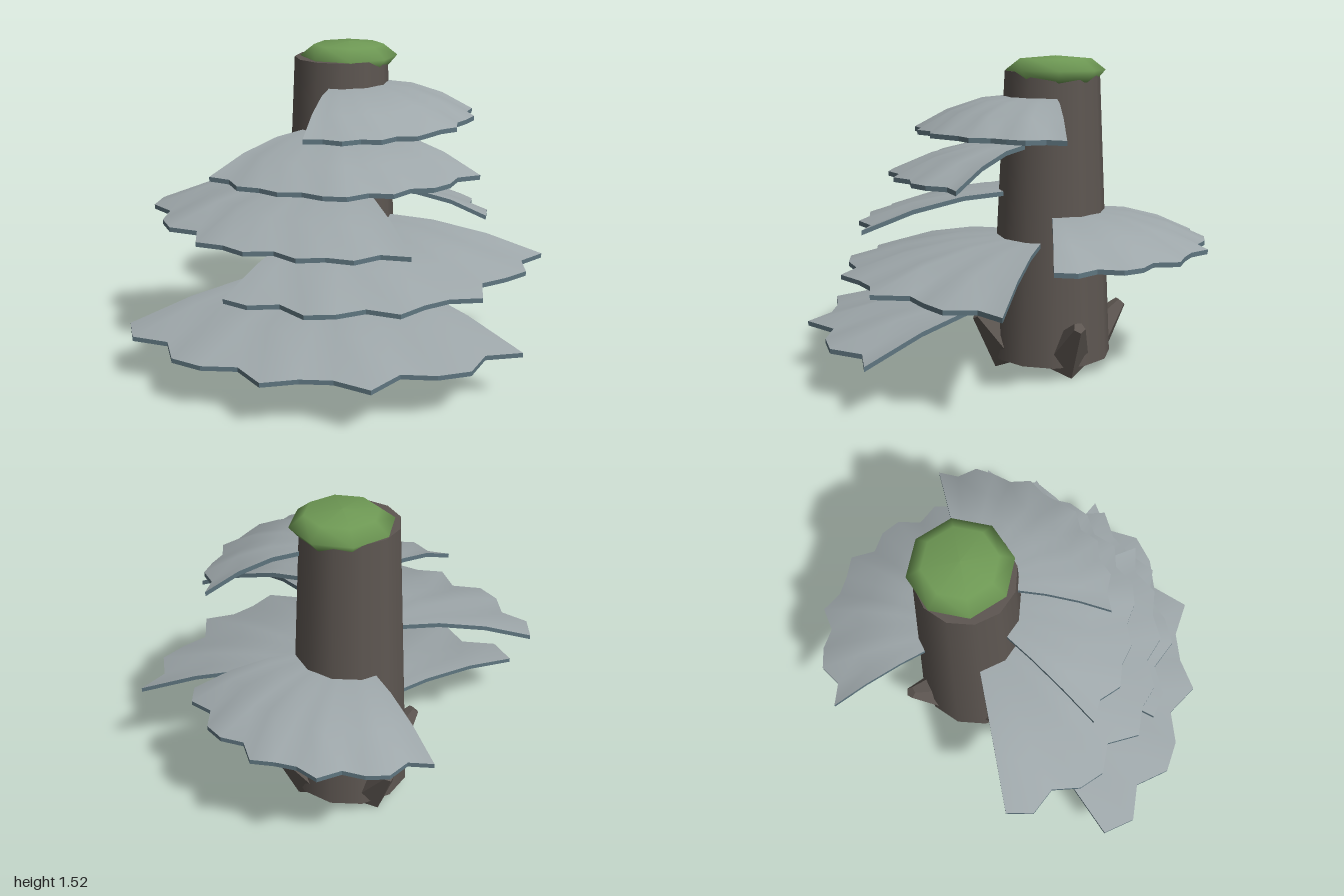
import * as THREE from 'three';

const CX = 0.015, CZ = -0.215; // trunk axis
const RINGS = 3, INNER = 0.2, DROP = 0.15, THICK = 0.022;

function flat(geometry) {
  const g = geometry.index ? geometry.toNonIndexed() : geometry;
  g.computeVertexNormals();
  return g;
}

function fromPoints(points, index) {
  const g = new THREE.BufferGeometry().setFromPoints(points);
  g.setIndex(index);
  g.computeVertexNormals();
  return g;
}

// A domed fan-shaped shelf: radii lists its scalloped rim from angle a0 to a1 (degrees, +x towards +z)
function makeShelf(name, top, a0, a1, radii, capMat, underMat) {
  const n = radii.length - 1;
  const at = (j, i, dy) => {
    const a = THREE.MathUtils.degToRad(a0 + (a1 - a0) * j / n);
    const s = i / RINGS;
    const r = INNER + (radii[j] - INNER) * s;
    return new THREE.Vector3(Math.cos(a) * r, top - DROP * s * s + dy, Math.sin(a) * r);
  };
  const sheet = (dy, up) => {
    const pts = [], idx = [], w = RINGS + 1;
    for (let j = 0; j <= n; j++) for (let i = 0; i <= RINGS; i++) pts.push(at(j, i, dy));
    for (let j = 0; j < n; j++) for (let i = 0; i < RINGS; i++) {
      const p = j * w + i, q = p + w;
      if (up) idx.push(p, q, p + 1, q, q + 1, p + 1);
      else idx.push(p, p + 1, q, q, p + 1, q + 1);
    }
    return fromPoints(pts, idx);
  };
  // perimeter: rim, then both straight ends
  const loop = [];
  for (let j = 0; j <= n; j++) loop.push([j, RINGS]);
  for (let i = RINGS - 1; i >= 0; i--) loop.push([n, i]);
  for (let i = 0; i <= RINGS; i++) loop.push([0, i]);
  const pts = [], idx = [];
  loop.forEach(([j, i], k) => {
    pts.push(at(j, i, 0), at(j, i, -THICK));
    const t = 2 * k;
    if (k < loop.length - 1) idx.push(t, t + 2, t + 1, t + 2, t + 3, t + 1);
  });

  const shelf = new THREE.Group();
  shelf.name = name;
  const parts = [
    ['shelfTop', sheet(0, true), capMat],
    ['shelfUnderside', sheet(-THICK, false), underMat],
    ['shelfEdge', flat(fromPoints(pts, idx)), underMat],
  ];
  for (const [partName, geometry, material] of parts) {
    const m = new THREE.Mesh(geometry, material);
    m.name = partName;
    shelf.add(m);
  }
  shelf.position.set(CX, 0, CZ);
  return shelf;
}

export function createModel() {
  const mat = (name, color) => {
    const m = new THREE.MeshStandardMaterial({ color });
    m.name = name;
    return m;
  };
  const bark = mat('bark', 0x5d5651);
  const cap = mat('paleShelf', 0x9ea7aa);
  const under = mat('slateUnderside', 0x5f7680);
  const green = mat('moss', 0x6f9a55);

  const model = new THREE.Group();
  model.name = 'shelfFungusStump';

  // tapered trunk
  const trunk = new THREE.Mesh(new THREE.CylinderGeometry(0.228, 0.295, 1.39, 12), bark);
  trunk.name = 'trunk';
  trunk.position.set(CX, 0.06 + 1.39 / 2, CZ);
  model.add(trunk);

  // four stubby roots leaning outwards and up
  const base = new THREE.Vector3(0.2, 0.085, 0), tip = new THREE.Vector3(0.38, 0.28, 0);
  const axis = tip.clone().sub(base);
  const rootGeo = flat(new THREE.CylinderGeometry(0.03, 0.12, axis.length(), 5)
    .rotateY(Math.PI / 2)
    .applyQuaternion(new THREE.Quaternion().setFromUnitVectors(
      new THREE.Vector3(0, 1, 0), axis.clone().normalize()))
    .translate((base.x + tip.x) / 2, (base.y + tip.y) / 2, 0));
  for (let k = 0; k < 4; k++) {
    const root = new THREE.Mesh(rootGeo, bark);
    root.name = 'root' + (k + 1);
    root.position.set(CX, 0, CZ);
    root.rotation.y = THREE.MathUtils.degToRad(17 + 90 * k);
    model.add(root);
  }

  // moss cushion on the trunk top
  const mossProfile = [[0, 1.39], [0.19, 1.4], [0.238, 1.455], [0.17, 1.508], [0, 1.522]]
    .map(([x, y]) => new THREE.Vector2(x, y));
  const moss = new THREE.Mesh(new THREE.LatheGeometry(mossProfile, 8), green);
  moss.name = 'mossCushion';
  moss.position.set(0.053, 0, -0.228);
  model.add(moss);

  // shelves, lowest first: name, top height, start angle, end angle, rim radii
  const shelves = [
    ['lowestShelf', 0.398, 46, 154.5,
      [1.16, 1.07, 1.155, 1.13, 1.07, 1.19, 1.095, 1.1, 1.17, 1.07, 1.14, 1.16, 1.07, 1.17, 1.125]],
    ['lowerShelf', 0.66, 14.5, 123,
      [1.02, 0.94, 1, 0.955, 0.91, 1.03, 0.96, 0.97, 1.03, 0.95, 1, 1.02, 0.93, 0.99, 0.98]],
    ['backShelf', 0.785, -106.5, 2.7,
      [0.756, 0.7, 0.757, 0.745, 0.71, 0.77, 0.72, 0.73, 0.77, 0.7, 0.75, 0.757, 0.7, 0.763, 0.74]],
    ['middleShelf', 0.88, 72, 180,
      [0.94, 0.88, 0.936, 0.9, 0.93, 0.87, 0.93, 0.91, 0.955, 0.86, 0.94, 0.93, 0.87, 0.94, 0.905]],
    ['upperShelf', 1.118, 35, 143,
      [0.78, 0.72, 0.76, 0.77, 0.73, 0.78, 0.74, 0.79, 0.78, 0.74, 0.77, 0.75, 0.78, 0.73, 0.77]],
    ['topShelf', 1.333, -2, 106,
      [0.655, 0.62, 0.66, 0.64, 0.62, 0.66, 0.63, 0.64, 0.66, 0.62, 0.66, 0.63, 0.66, 0.63, 0.65]],
  ];
  for (const [name, top, a0, a1, radii] of shelves) {
    model.add(makeShelf(name, top, a0, a1, radii, cap, under));
  }
  return model;
}
